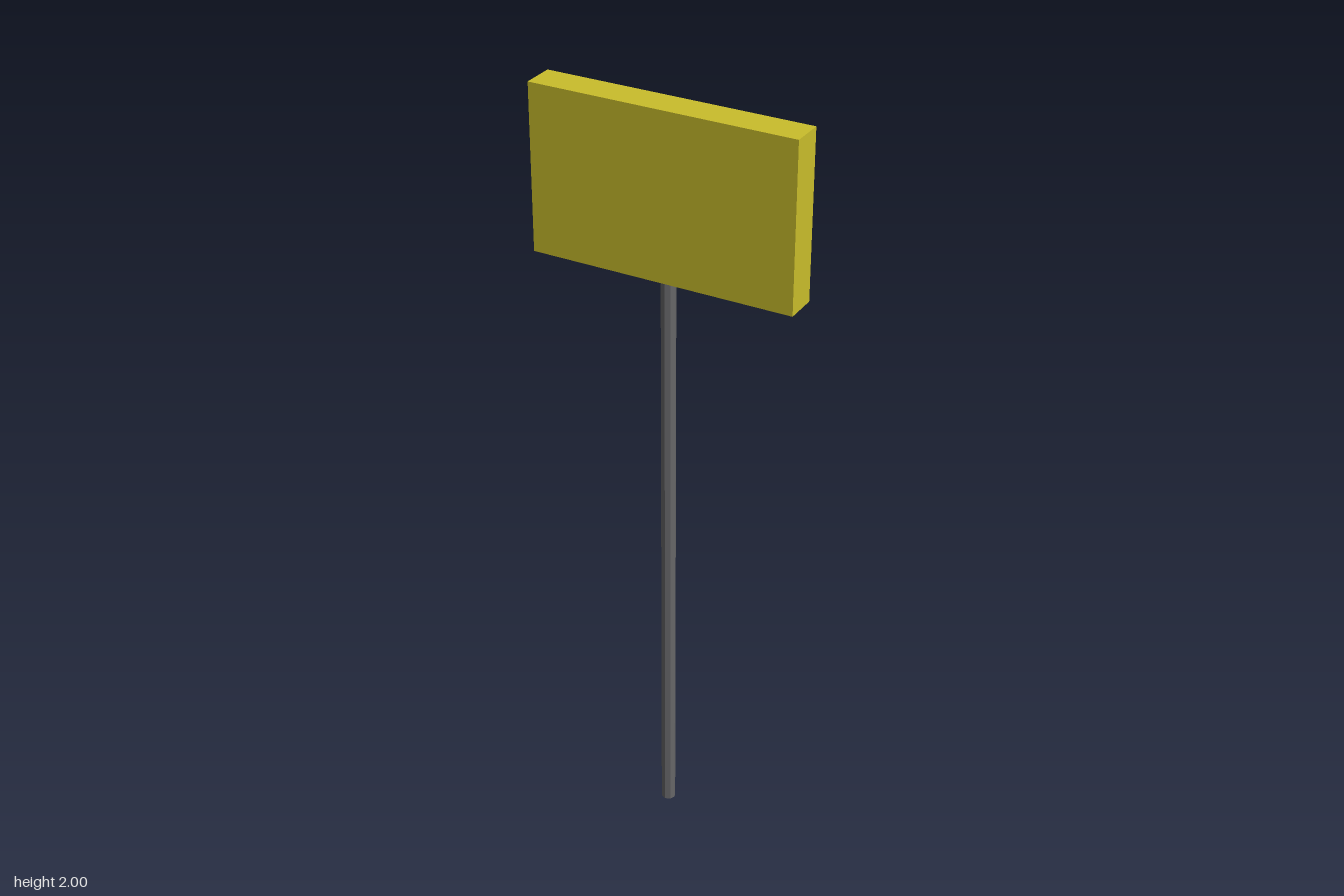
import * as THREE from 'three';

const BOARD_BOTTOM = 1.576;
const TOP = 2;

export function createModel() {
  const model = new THREE.Group();
  model.name = 'signpost';

  const add = (name, geometry, color, y) => {
    const material = new THREE.MeshStandardMaterial({ color, flatShading: true });
    const mesh = new THREE.Mesh(geometry, material);
    mesh.name = name;
    mesh.position.y = y;
    model.add(mesh);
  };

  // Slim eight-sided post from the ground to the underside of the board
  add('post', new THREE.CylinderGeometry(0.019, 0.019, BOARD_BOTTOM, 8), 0x666668, BOARD_BOTTOM / 2);

  // Flat rectangular board on top of the post
  const height = TOP - BOARD_BOTTOM;
  add('signBoard', new THREE.BoxGeometry(0.684, height, 0.085), 0xc9bd2b, BOARD_BOTTOM + height / 2);

  return model;
}
